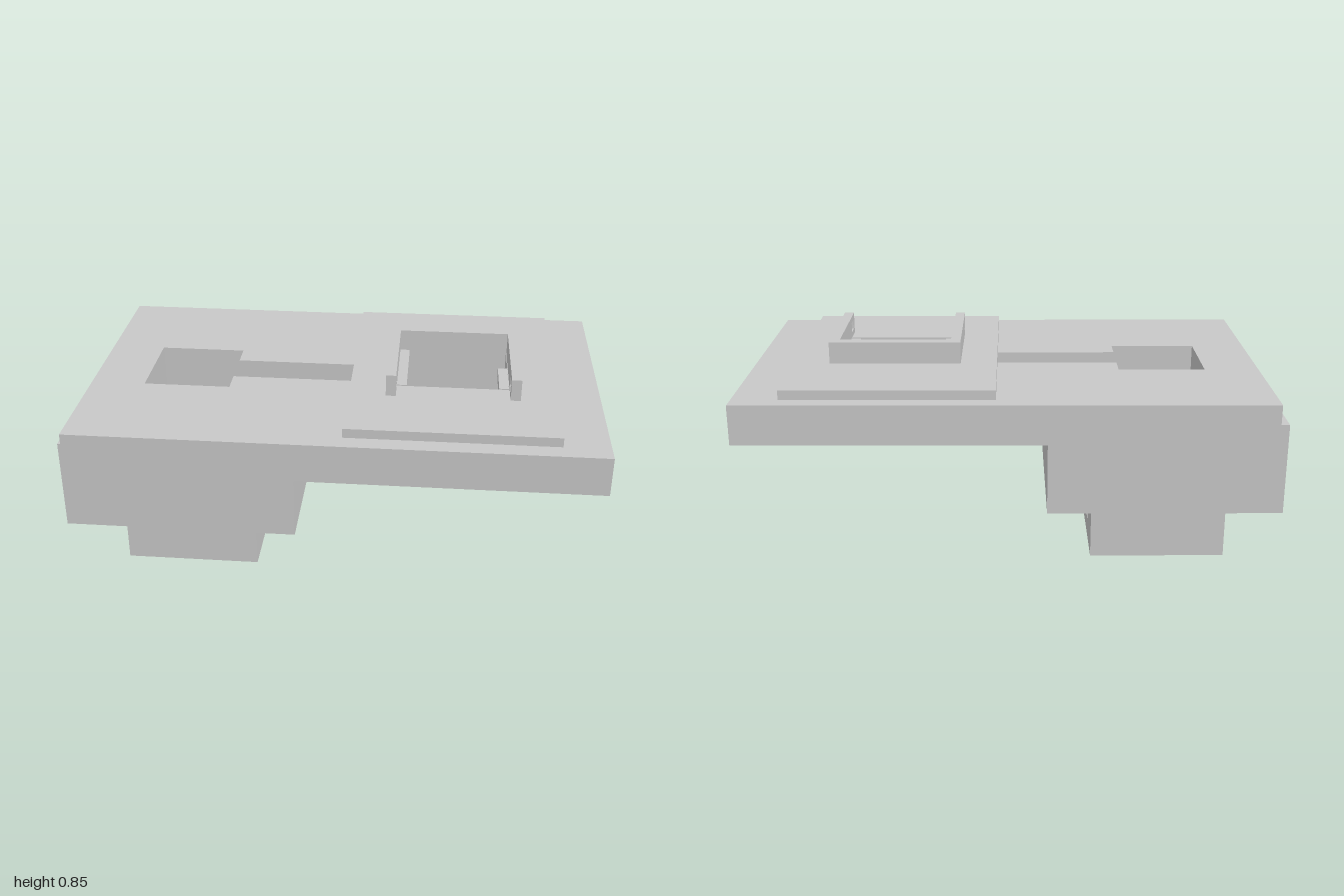
import * as THREE from 'three';

const grey = new THREE.MeshStandardMaterial({ color: 0xc8c8c8 });
grey.name = 'plain grey';

// Rectangle outline, ordered so extruded walls and holes face outward
const rect = (a0, a1, b0, b1) => [[a0, b0], [a0, b1], [a1, b1], [a1, b0]];

function extrude(outline, holes, depth) {
  const toPoints = (list) => list.map(([a, b]) => new THREE.Vector2(a, -b));
  const shape = new THREE.Shape(toPoints(outline));
  for (const h of holes) shape.holes.push(new THREE.Path(toPoints(h)));
  return new THREE.ExtrudeGeometry(shape, { depth, bevelEnabled: false });
}

export function createModel() {
  const model = new THREE.Group();
  model.name = 'steppedBracket';

  const add = (name, geometry) => {
    const mesh = new THREE.Mesh(geometry, grey);
    mesh.name = name;
    model.add(mesh);
  };

  // Plate outlined in x, z and extruded upward
  const plate = (name, outline, holes, y0, y1) =>
    add(name, extrude(outline, holes, y1 - y0).rotateX(-Math.PI / 2).translate(0, y0, 0));

  // Wall outlined in z, y and extruded along x
  const wall = (name, outline, holes, x0, x1) => {
    const flip = (list) => list.map(([z, y]) => [-z, -y]);
    add(name, extrude(flip(outline), holes.map(flip), x1 - x0).rotateY(Math.PI / 2).translate(x0, 0, 0));
  };

  const box = (name, x0, x1, y0, y1, z0, z1) =>
    add(name, new THREE.BoxGeometry(x1 - x0, y1 - y0, z1 - z0)
      .translate((x0 + x1) / 2, (y0 + y1) / 2, (z0 + z1) / 2));

  const shaft = rect(-0.725, -0.397, -0.167, 0.167);
  const socket = rect(0.238, 0.658, -0.16, 0.17);
  const deck = rect(-0.93, 1, -0.597, 0.597);

  // Deck: floor layer with two openings, upper layer with a channel joining them
  plate('deckFloor', deck, [shaft, socket], 0.588, 0.65);
  plate('deckChannelLayer', deck, [[
    [-0.725, -0.167], [-0.397, -0.167], [-0.397, -0.073], [0.238, -0.073],
    [0.238, -0.16], [0.658, -0.16], [0.658, 0.17], [0.238, 0.17],
    [0.238, 0.073], [-0.397, 0.073], [-0.397, 0.167], [-0.725, 0.167],
  ]], 0.65, 0.735);

  // Raised cover plate around the socket
  plate('coverPlate', rect(0.066, 0.833, -0.533, 0.53), [socket], 0.735, 0.77);

  // U-shaped holder with a pin hole in each arm
  box('holderBack', 0.203, 0.697, 0.77, 0.852, -0.202, -0.16);
  for (const [name, x0] of [['holderRightArm', 0.203], ['holderLeftArm', 0.66]]) {
    wall(name, rect(-0.16, 0.257, 0.77, 0.852), [rect(0.175, 0.232, 0.792, 0.829)], x0, x0 + 0.037);
  }

  // Rails along the socket sides
  box('rightRail', 0.236, 0.277, 0.735, 0.769, -0.16, 0.16);
  box('leftRail', 0.622, 0.66, 0.735, 0.769, -0.018, 0.16);

  // Hollow housing shell below the deck
  plate('housingShell', rect(-1, -0.121, -0.44, 0.44),
    [rect(-0.93, -0.186, -0.377, 0.377)], 0.258, 0.607);

  // Square tube running down through the housing, windowed at both ends
  for (const [name, x0, x1] of [['tubeRightWall', -0.821, -0.725], ['tubeLeftWall', -0.397, -0.298]]) {
    wall(name, rect(-0.265, 0.265, 0, 0.588), [rect(-0.078, 0.078, 0.07, 0.224)], x0, x1);
  }
  for (const [name, z0, z1] of [['tubeFrontWall', 0.167, 0.265], ['tubeBackWall', -0.265, -0.167]]) {
    box(name, -0.725, -0.397, 0, 0.588, z0, z1);
  }

  return model;
}
